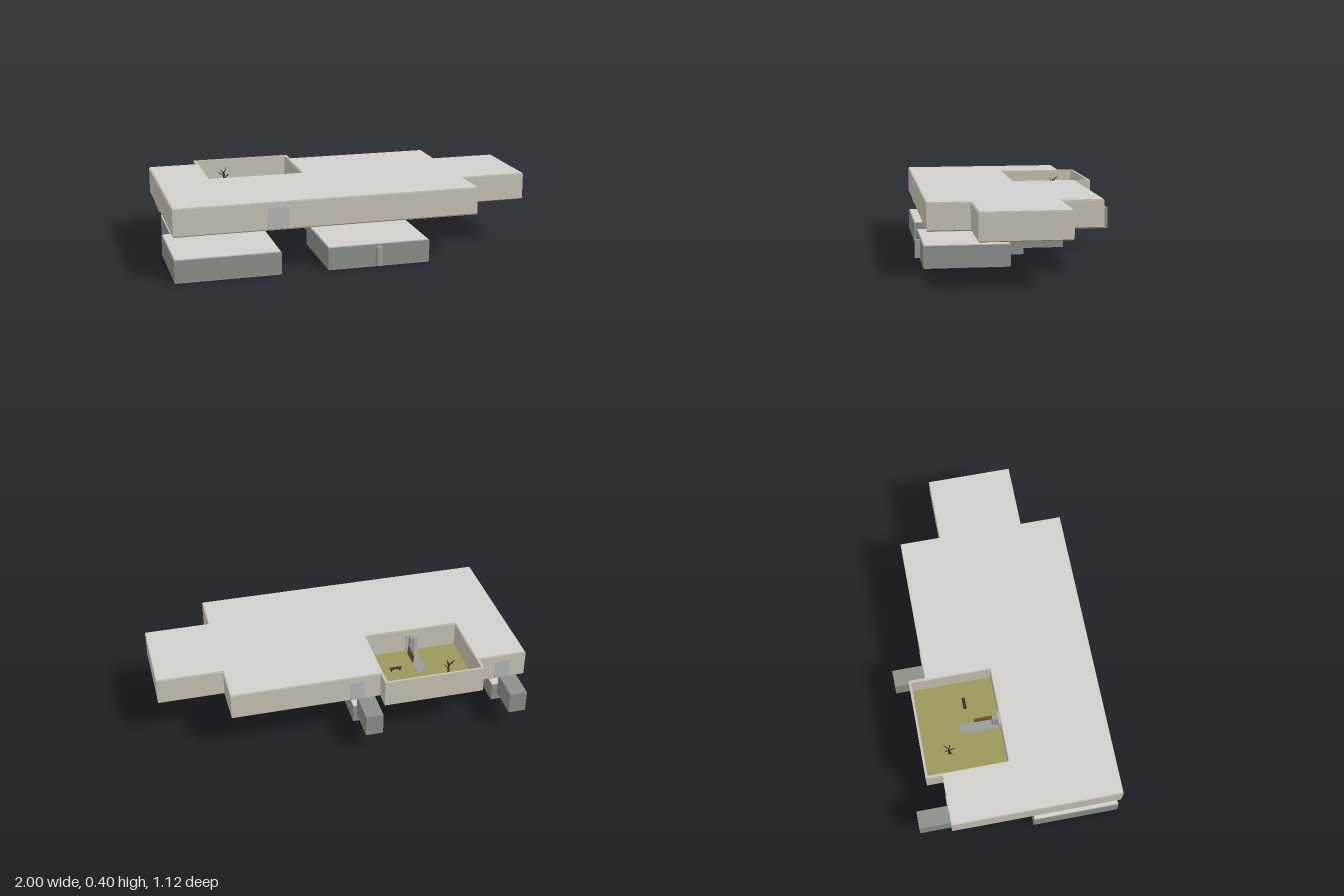
import * as THREE from 'three';

const mat = (color, extra = {}) => new THREE.MeshStandardMaterial({ color, ...extra });
const M = {
  wall: mat(0xc8c2b4), roof: mat(0xd0cfcb), stone: mat(0x8a9088), base: mat(0x979593),
  soffit: mat(0xa9a7a5), earth: mat(0x8d6a4c), grass: mat(0x9a985c), path: mat(0x9a9a98),
  glass: mat(0xb4b7bb), dark: mat(0x3a342c), wood: mat(0x7a5530),
};

// Box given by its minimum and maximum corners
function box(parent, name, m, [x0, x1], [y0, y1], [z0, z1]) {
  const mesh = new THREE.Mesh(new THREE.BoxGeometry(x1 - x0, y1 - y0, z1 - z0), m);
  mesh.position.set((x0 + x1) / 2, (y0 + y1) / 2, (z0 + z1) / 2);
  mesh.name = name;
  parent.add(mesh);
  return mesh;
}

// Floor plan of [x, z] points raised from y0 to y1
function slab(parent, name, m, plan, y0, y1) {
  const shape = new THREE.Shape(plan.map(([x, z]) => new THREE.Vector2(x, -z)));
  const geo = new THREE.ExtrudeGeometry(shape, { depth: y1 - y0, bevelEnabled: false });
  geo.rotateX(-Math.PI / 2);
  const mesh = new THREE.Mesh(geo, m);
  mesh.position.y = y0;
  mesh.name = name;
  parent.add(mesh);
  return mesh;
}

// Thin rod between two points
function rod(parent, name, m, a, b, r) {
  const p = new THREE.Vector3(...a), q = new THREE.Vector3(...b);
  const mesh = new THREE.Mesh(new THREE.CylinderGeometry(r * 0.7, r, p.distanceTo(q), 6), m);
  mesh.position.copy(p).add(q).multiplyScalar(0.5);
  mesh.quaternion.setFromUnitVectors(new THREE.Vector3(0, 1, 0), q.sub(p).normalize());
  mesh.name = name;
  parent.add(mesh);
}

// Lower room with its bent passage and stair, placed by its left edge
function lowerWing(x) {
  const g = new THREE.Group();
  g.name = 'lowerWing';
  g.position.x = x;
  box(g, 'roomWalls', M.stone, [0, 0.56], [0.006, 0.122], [0.06, 0.532]);
  box(g, 'roomRoof', M.roof, [0.005, 0.555], [0.122, 0.127], [0.065, 0.527]);
  box(g, 'roomBase', M.base, [0.003, 0.557], [0, 0.006], [0.063, 0.529]);

  const bend = [[0.045, -0.3], [0.14, -0.3], [0.14, -0.04], [0.335, -0.04], [0.335, 0.06], [0.045, 0.06]];
  slab(g, 'passage', M.stone, bend, 0.025, 0.128);
  slab(g, 'passageRoof', M.roof, bend, 0.128, 0.132);
  box(g, 'doorwayHood', M.stone, [0.23, 0.335], [0.12, 0.136], [-0.04, 0.08]);

  // Stair shell, open at the front and below
  box(g, 'stairSide', M.stone, [0.045, 0.05], [0.13, 0.25], [-0.56, -0.375]);
  box(g, 'stairSide', M.stone, [0.135, 0.14], [0.13, 0.25], [-0.56, -0.375]);
  box(g, 'stairBack', M.stone, [0.045, 0.14], [0.13, 0.25], [-0.56, -0.555]);
  box(g, 'stairTop', M.stone, [0.045, 0.14], [0.246, 0.25], [-0.56, -0.375]);
  const n = 10, rise = 0.115 / n, run = 0.18 / n;
  for (let i = 0; i < n; i++) {
    const y = 0.13 + i * rise, z = -0.375 - i * run;
    box(g, 'step', M.stone, [0.05, 0.135], [y, y + rise * 0.8], [z - run * 1.2, z]);
  }
  return g;
}

export function createModel() {
  const root = new THREE.Group();
  root.name = 'building';

  // Main floor: outline with a side wing and a courtyard cut into the back
  const plan = (e) => [
    [-1 + e, 0.532 - e], [0.64 - e, 0.532 - e], [0.64 - e, 0.305 - e], [1 - e, 0.305 - e],
    [1 - e, -0.165 + e], [0.64 - e, -0.165 + e], [0.64 - e, -0.39 + e], [-0.19 + e, -0.39 + e],
    [-0.19 + e, -0.03 + e], [-0.715 - e, -0.03 + e], [-0.715 - e, -0.39 + e], [-1 + e, -0.39 + e],
  ];
  slab(root, 'mainWalls', M.wall, plan(0), 0.25, 0.39);
  slab(root, 'mainRoof', M.roof, plan(0.004), 0.39, 0.396);
  slab(root, 'underside', M.earth, plan(0.003), 0.246, 0.25);
  box(root, 'frontSoffit', M.soffit, [-0.997, 0.637], [0.244, 0.247], [0.07, 0.529]);

  // Courtyard parapet and lawn
  slab(root, 'courtyardParapet', M.wall, [
    [-0.73, -0.39], [-0.715, -0.39], [-0.715, -0.467], [-0.19, -0.467], [-0.19, -0.39],
    [-0.175, -0.39], [-0.175, -0.48], [-0.73, -0.48],
  ], 0.247, 0.396);
  box(root, 'lawn', M.grass, [-0.72, -0.185], [0.245, 0.255], [-0.475, -0.027]);
  box(root, 'gardenPath', M.path, [-0.487, -0.427], [0.254, 0.257], [-0.25, -0.03]);
  box(root, 'courtyardDoorFrame', M.glass, [-0.495, -0.425], [0.255, 0.36], [-0.04, -0.028]);
  box(root, 'courtyardDoorPost', M.path, [-0.465, -0.44], [0.255, 0.36], [-0.07, -0.035]);
  box(root, 'openDoor', M.wood, [-0.433, -0.427], [0.262, 0.315], [-0.165, -0.07]);

  // Garden bench
  box(root, 'benchSeat', M.dark, [-0.35, -0.285], [0.27, 0.274], [-0.21, -0.192]);
  for (const x of [-0.345, -0.296]) box(root, 'benchLeg', M.dark, [x, x + 0.006], [0.255, 0.27], [-0.208, -0.194]);

  // Bare tree
  const tree = new THREE.Group();
  tree.name = 'tree';
  tree.position.set(-0.58, 0.255, -0.33);
  rod(tree, 'trunk', M.dark, [0, 0, 0], [0, 0.1, 0], 0.006);
  for (let i = 0; i < 5; i++) {
    const a = i * 1.26 + 0.3, r = 0.025 + 0.006 * (i % 3), y = 0.06 + 0.008 * i;
    rod(tree, 'branch', M.dark, [0, y, 0], [r * Math.cos(a), y + 0.025, r * Math.sin(a)], 0.003);
  }
  root.add(tree);

  // Glazed doors on the outer walls
  box(root, 'frontDoor', M.glass, [-0.51, -0.397], [0.252, 0.365], [0.525, 0.536]);
  for (const x of [-0.87, -0.045]) box(root, 'backDoor', M.glass, [x - 0.04, x + 0.04], [0.252, 0.36], [-0.393, -0.385]);

  // Lower rooms
  for (const x of [-1, -0.19]) root.add(lowerWing(x));
  box(root, 'lowerPorch', M.path, [0.07, 0.102], [0.01, 0.113], [0.525, 0.56]);
  return root;
}
